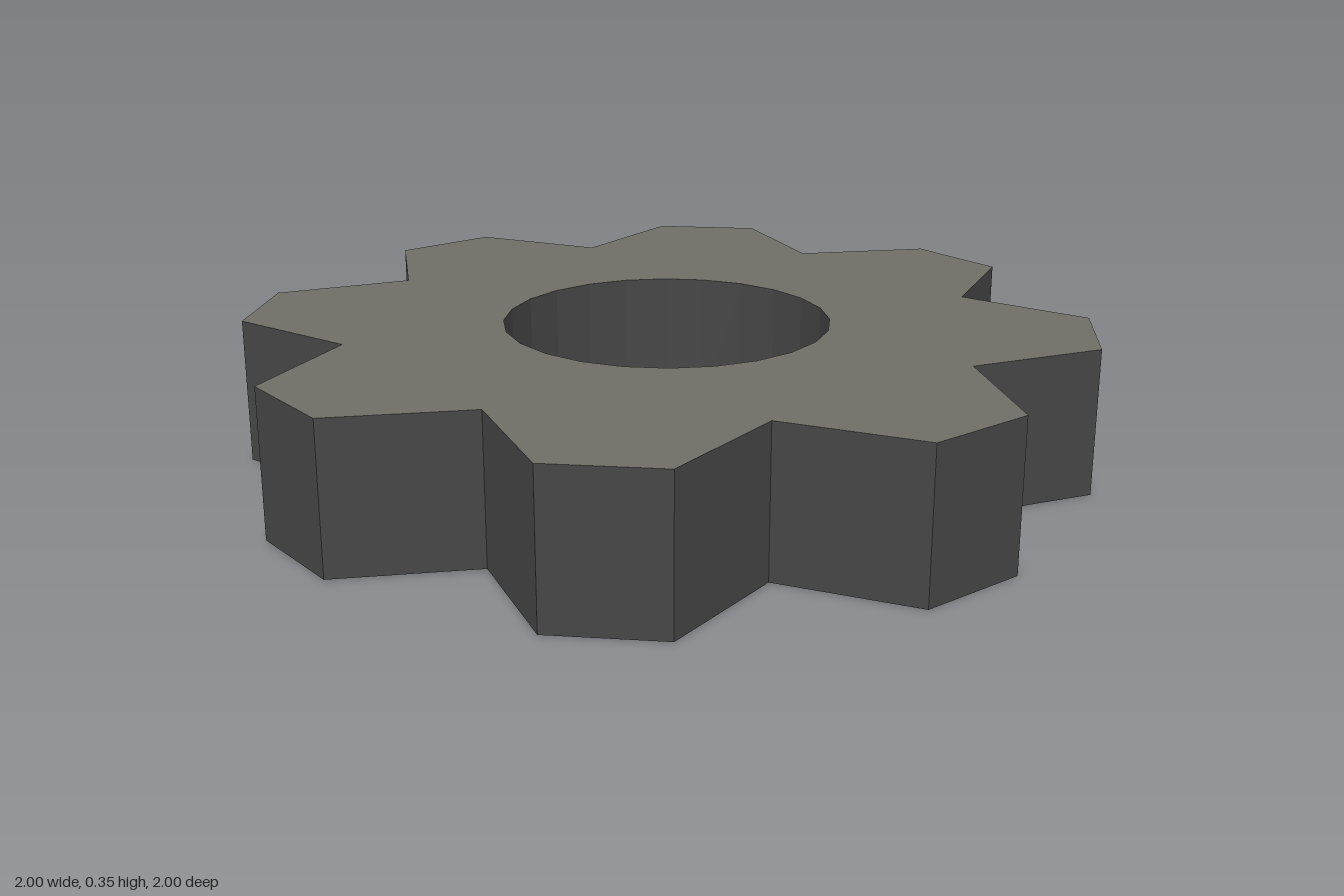
import * as THREE from 'three';

const HEIGHT = 0.35;
const STEPS = 24; // 8 teeth, three corners each
const TOOTH_RADIUS = 1.0086;
const VALLEY_RADIUS = 0.765;
const BORE_RADIUS = 0.388;

// Closed ring of plan points (x, -z), counter-clockwise seen from above
function ring(radiusAt) {
  return Array.from({ length: STEPS }, (_, i) => {
    const a = ((i + 0.5) * 2 * Math.PI) / STEPS;
    const r = radiusAt(i);
    return new THREE.Vector2(r * Math.sin(a), -r * Math.cos(a));
  });
}

// Upright flat-faced wall along a ring; reversed rings face inwards
function wall(points) {
  const positions = [];
  points.forEach((p, i) => {
    const q = points[(i + 1) % points.length];
    const a = [p.x, 0, -p.y], b = [q.x, 0, -q.y];
    const c = [q.x, HEIGHT, -q.y], d = [p.x, HEIGHT, -p.y];
    positions.push(...a, ...b, ...c, ...a, ...c, ...d);
  });
  const geometry = new THREE.BufferGeometry();
  geometry.setAttribute('position', new THREE.Float32BufferAttribute(positions, 3));
  geometry.computeVertexNormals();
  return geometry;
}

export function createModel() {
  const group = new THREE.Group();
  group.name = 'gear';

  const faceGrey = new THREE.MeshStandardMaterial({ color: 0x6e6e67, side: THREE.DoubleSide, flatShading: true });
  faceGrey.name = 'warm grey';
  const wallGrey = new THREE.MeshStandardMaterial({ color: 0x464646, side: THREE.DoubleSide, flatShading: true });
  wallGrey.name = 'dark grey';

  const add = (name, geometry, material) => {
    const mesh = new THREE.Mesh(geometry, material);
    mesh.name = name;
    group.add(mesh);
  };

  const outline = ring((i) => (i % 3 === 0 ? VALLEY_RADIUS : TOOTH_RADIUS));
  const bore = ring(() => BORE_RADIUS).reverse();

  // Top plate with the round opening; the underside stays open
  const shape = new THREE.Shape(outline);
  shape.holes.push(new THREE.Path(bore));
  const top = new THREE.ShapeGeometry(shape).rotateX(-Math.PI / 2).translate(0, HEIGHT, 0);

  add('topFace', top, faceGrey);
  add('toothWall', wall(outline), wallGrey);
  add('boreWall', wall(bore), wallGrey);
  return group;
}
